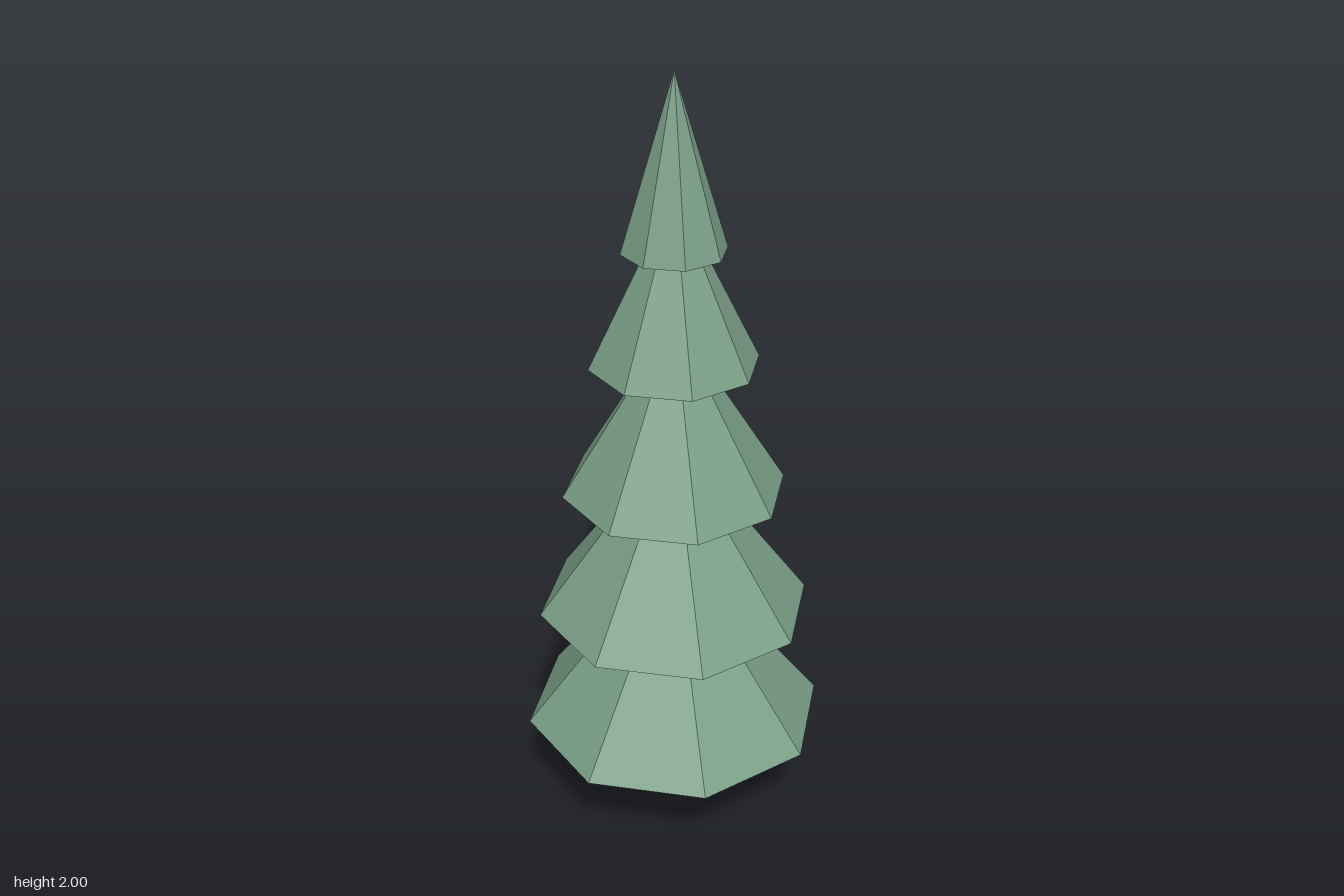
import * as THREE from 'three';

export function createModel() {
  const tree = new THREE.Group();
  tree.name = 'pineTree';

  const foliage = new THREE.MeshStandardMaterial({ color: 0x7a9f87 });
  foliage.name = 'foliage green';
  foliage.flatShading = true;
  const bark = new THREE.MeshStandardMaterial({ color: 0xa38b76 });
  bark.name = 'bark brown';
  bark.flatShading = true;

  // Seven-sided trunk, its flat side to the front
  const trunkHeight = 0.3;
  const trunk = new THREE.Mesh(new THREE.CylinderGeometry(0.068, 0.068, trunkHeight, 7), bark);
  trunk.name = 'trunk';
  trunk.rotation.y = Math.PI;
  trunk.position.y = trunkHeight / 2;
  tree.add(trunk);

  // Overlapping eight-sided cones: [radius, base y, tip y]
  const tiers = [
    [0.394, 0.263, 0.77],
    [0.352, 0.602, 1.085],
    [0.283, 0.946, 1.405],
    [0.21, 1.29, 1.72],
    [0.128, 1.577, 2],
  ];
  tiers.forEach(([radius, base, tip], i) => {
    const tier = new THREE.Mesh(new THREE.ConeGeometry(radius, tip - base, 8), foliage);
    tier.name = `foliageTier${i + 1}`;
    tier.position.y = (base + tip) / 2;
    tree.add(tier);
  });

  return tree;
}
